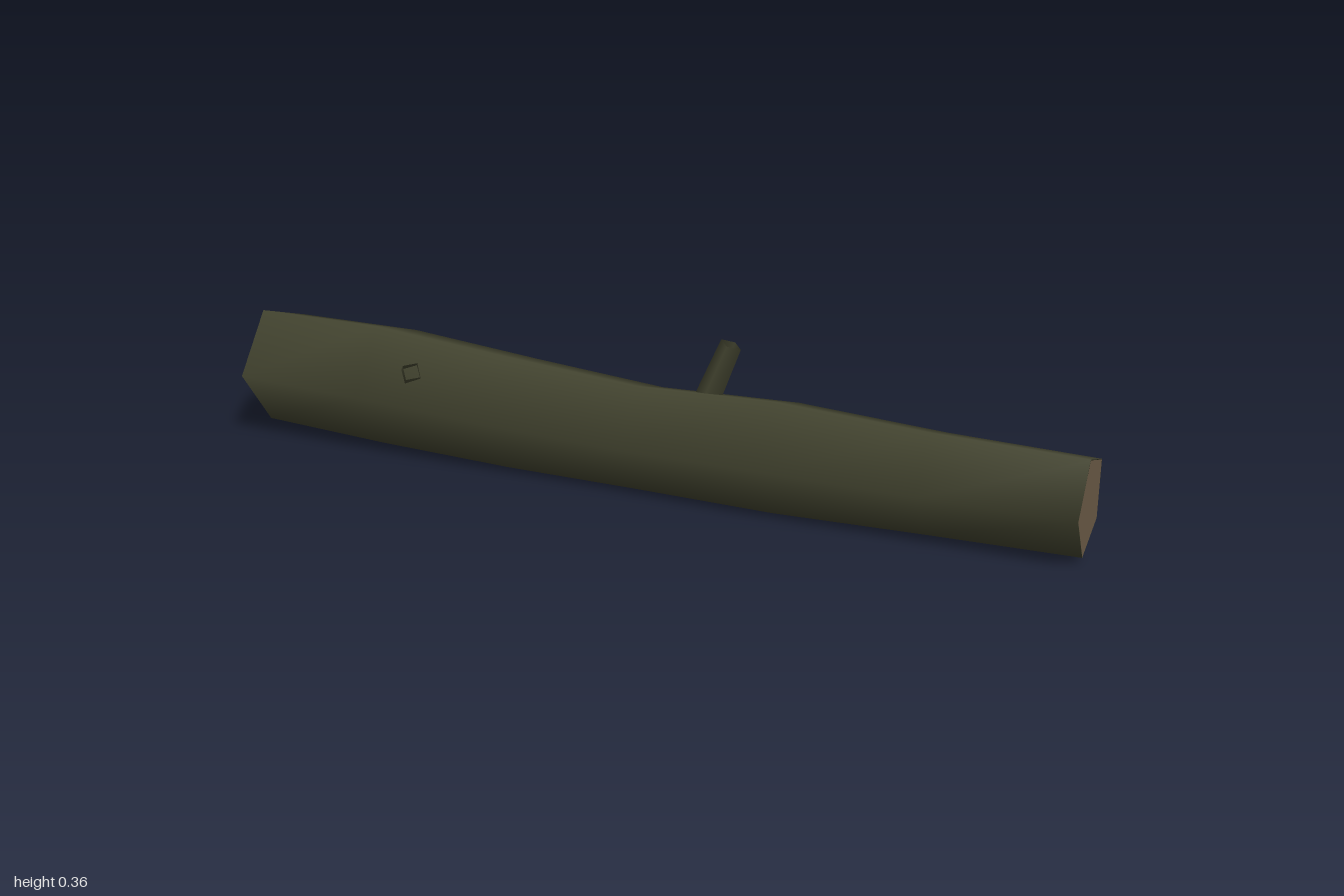
import * as THREE from 'three';

const SIDES = 5;

// Log sections along x: [x, centre y, centre z, radius]
const SECTIONS = [
  [-1, 0.163, -0.007, 0.146],
  [-0.67, 0.159, -0.003, 0.153],
  [-0.33, 0.14, -0.003, 0.142],
  [0, 0.127, -0.004, 0.129],
  [0.33, 0.133, -0.003, 0.135],
  [0.67, 0.128, -0.004, 0.12],
  [1, 0.128, -0.005, 0.112],
];

// Open five-sided tube with smooth normals, lofted through the sections
function loftLog() {
  const positions = [];
  const index = [];
  for (const [x, cy, cz, r] of SECTIONS) {
    for (let j = 0; j < SIDES; j++) {
      const a = (j / SIDES) * Math.PI * 2;
      positions.push(x, cy + Math.sin(a) * r, cz + Math.cos(a) * r);
    }
  }
  for (let i = 0; i < SECTIONS.length - 1; i++) {
    for (let j = 0; j < SIDES; j++) {
      const a = i * SIDES + j;
      const b = i * SIDES + ((j + 1) % SIDES);
      index.push(a, a + SIDES, b + SIDES, a, b + SIDES, b);
    }
  }
  const geometry = new THREE.BufferGeometry();
  geometry.setAttribute('position', new THREE.Float32BufferAttribute(positions, 3));
  geometry.setIndex(index);
  geometry.computeVertexNormals();
  return geometry;
}

export function createModel() {
  const group = new THREE.Group();
  group.name = 'log';

  const bark = new THREE.MeshStandardMaterial({ color: 0x42432f, side: THREE.DoubleSide });
  bark.name = 'bark';
  const wood = new THREE.MeshStandardMaterial({ color: 0x6b5a46, side: THREE.DoubleSide });
  wood.name = 'cut wood';

  function add(name, geometry, material) {
    const mesh = new THREE.Mesh(geometry, material);
    mesh.name = name;
    group.add(mesh);
    return mesh;
  }

  // Hollow four-sided shoot running between two points
  function addShoot(name, from, to, r0, r1) {
    const a = new THREE.Vector3(...from);
    const b = new THREE.Vector3(...to);
    const dir = b.clone().sub(a);
    const mesh = add(name, new THREE.CylinderGeometry(r1, r0, dir.length(), 4, 1, true), bark);
    mesh.position.copy(a).add(b).multiplyScalar(0.5);
    mesh.quaternion.setFromUnitVectors(new THREE.Vector3(0, 1, 0), dir.normalize());
  }

  add('trunk', loftLog(), bark);

  // Cut ends: each disc has a corner on its own right-hand side,
  // so the thick end's disc is turned against the trunk's corners
  for (const [name, section, scale, turn] of [
    ['thickEnd', SECTIONS[0], 1, -Math.PI / 2],
    ['thinEnd', SECTIONS[6], 0.985, Math.PI / 2],
  ]) {
    const [x, cy, cz, r] = section;
    const disc = add(name, new THREE.CircleGeometry(r * scale, SIDES), wood);
    disc.position.set(x, cy, cz);
    disc.rotation.y = turn;
    if (turn > 0) disc.rotation.z = Math.PI; // corner toward the front
  }

  // Twig on top and a short broken stub on the front
  addShoot('twig', [0.14, 0.2, -0.012], [0.2, 0.354, -0.026], 0.031, 0.025);
  addShoot('stub', [-0.56, 0.205, 0.08], [-0.533, 0.232, 0.115], 0.026, 0.024);

  return group;
}
